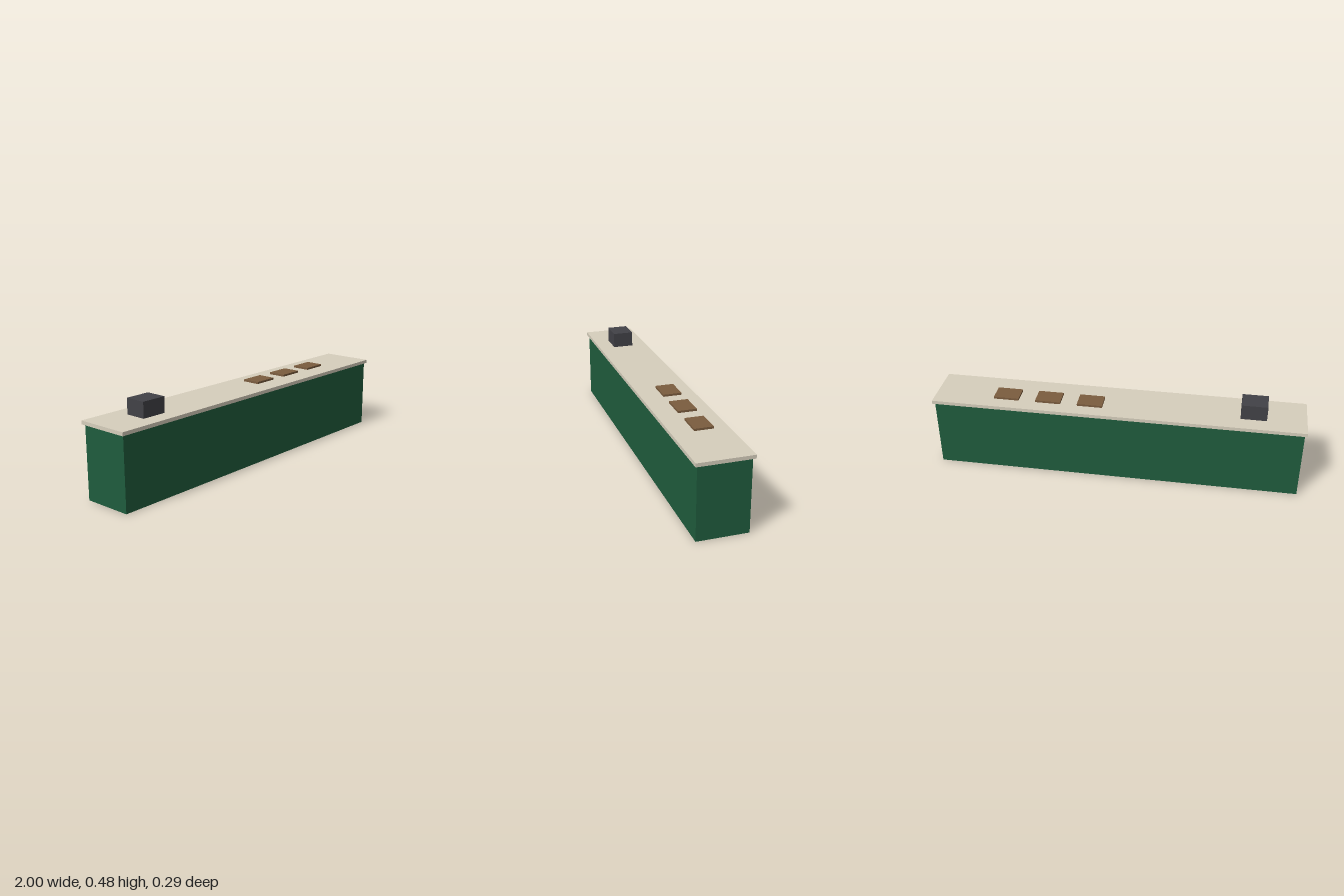
import * as THREE from 'three';

const material = (color) => new THREE.MeshStandardMaterial({ color });

// Box given by its size, its centre in x and z, and the height of its underside
function box(name, [w, h, d], [x, bottom, z], mat) {
  const mesh = new THREE.Mesh(new THREE.BoxGeometry(w, h, d), mat);
  mesh.name = name;
  mesh.position.set(x, bottom + h / 2, z);
  return mesh;
}

export function createModel() {
  const model = new THREE.Group();
  model.name = 'serviceCounter';

  const green = material(0x1f5c3d);
  const stone = material(0xd6cebc);
  const charcoal = material(0x424247);
  const wood = material(0x7a5c3e);

  // Counter body with a slightly overhanging top
  const topHeight = 0.401;
  model.add(box('counterBody', [1.976, 0.382, 0.266], [0, 0, 0], green));
  model.add(box('counterTop', [2, 0.019, 0.288], [0, 0.382, 0], stone));

  // Till on the right-hand end
  model.add(box('till', [0.137, 0.083, 0.114], [-0.723, topHeight, 0], charcoal));

  // Row of three flat trays, set a little towards the back
  for (let i = 0; i < 3; i++) {
    model.add(box(`tray${i + 1}`, [0.137, 0.011, 0.099], [0.148 + i * 0.229, topHeight, -0.019], wood));
  }

  return model;
}
